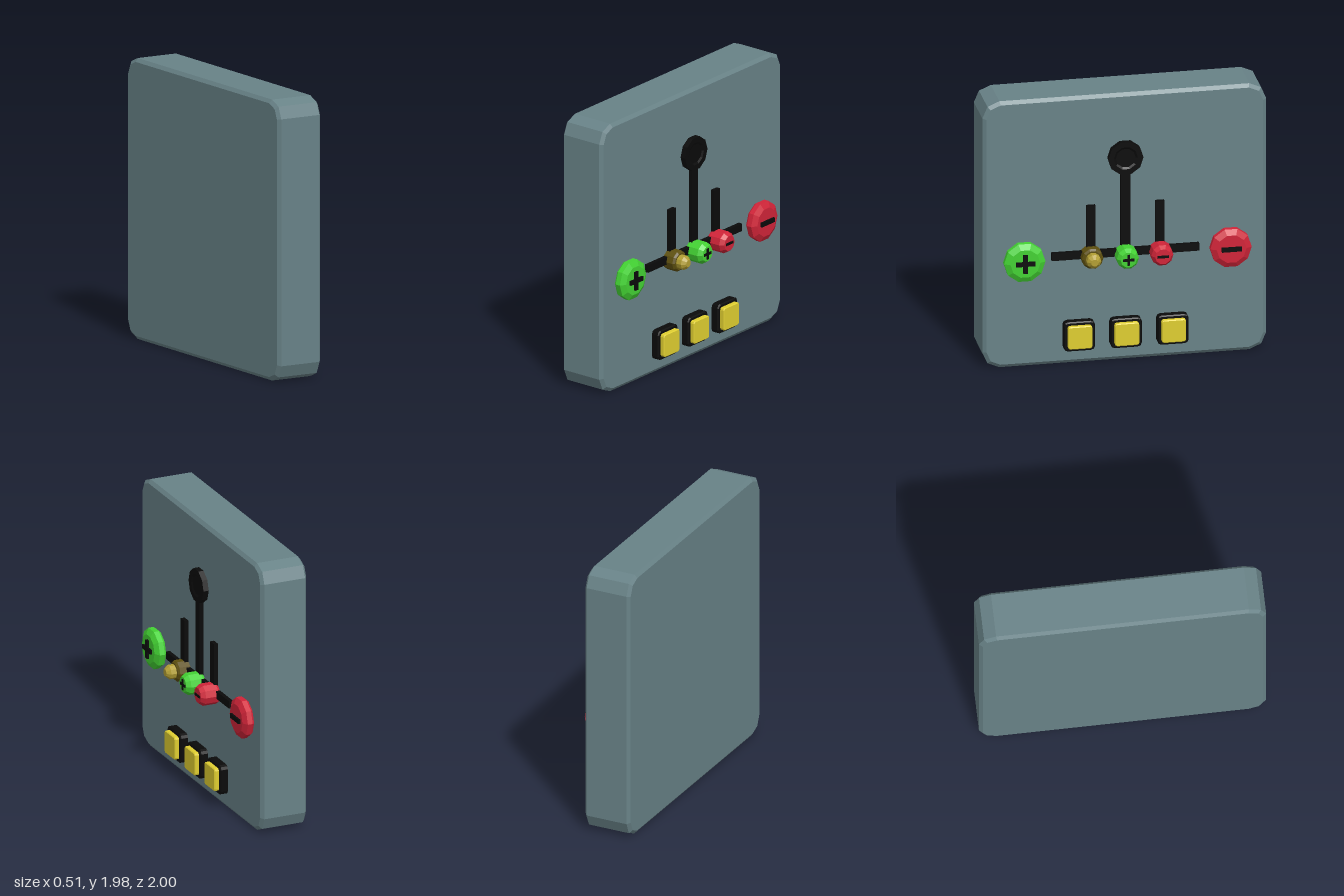
import * as THREE from 'three';

const paint = (color) => new THREE.MeshStandardMaterial({ color, flatShading: true });
const SURFACE = 0.09; // depth of the panel's face

export function createModel() {
  const black = paint(0x0a0a0a), green = paint(0x43d233), red = paint(0xd02438);
  const yellow = paint(0xdfce30), bronze = paint(0x5e500f), gold = paint(0xb39f33);
  const steel = paint(0x688287);

  const model = new THREE.Group();
  model.name = 'controlPanel';
  // Built facing +z, then turned so the controls face +x
  const panel = new THREE.Group();
  panel.name = 'panel';
  panel.rotation.y = Math.PI / 2;
  model.add(panel);

  const add = (parent, name, geometry, material, x = 0, y = 0, z = 0) => {
    const mesh = new THREE.Mesh(geometry, material);
    mesh.name = name;
    mesh.position.set(x, y, z);
    parent.add(mesh);
    return mesh;
  };

  // Rectangle whose corners are cut in two steps, extruded from z0 to z1 with a bevel
  const slab = (w, h, cut, z0, z1, bevel, thick) => {
    const a = w / 2 - bevel, b = h / 2 - bevel, c = cut, d = cut * 0.3;
    const corner = [[a, b - c], [a - d, b - d], [a - c, b]];
    const flip = (sx, sy) => corner.map(([x, y]) => new THREE.Vector2(x * sx, y * sy));
    const points = [...flip(1, 1), ...flip(-1, 1).reverse(), ...flip(-1, -1), ...flip(1, -1).reverse()];
    const geometry = new THREE.ExtrudeGeometry(new THREE.Shape(points), {
      depth: z1 - z0 - 2 * thick, bevelEnabled: true, bevelSize: bevel, bevelThickness: thick, bevelSegments: 1,
    });
    return geometry.translate(0, 0, z0 + thick);
  };

  // Ten-sided turned shape from [radius, depth] pairs, axis along z, flat side up
  const turned = (profile) => {
    const geometry = new THREE.LatheGeometry(profile.map(([r, z]) => new THREE.Vector2(r, z)), 10);
    return geometry.rotateY(Math.PI / 10).rotateX(Math.PI / 2);
  };

  const bar = (parent, name, w, h, x, y, z0, z1) =>
    add(parent, name, new THREE.BoxGeometry(w, h, z1 - z0), black, x, y, (z0 + z1) / 2);

  // Round button marked with a raised plus or minus
  const markedButton = (name, x, y, r, rim, top, markTop, size, material, plus) => {
    const group = new THREE.Group();
    group.name = name;
    group.position.set(x, y, 0);
    panel.add(group);
    add(group, 'cap', turned([[0, SURFACE], [r * 0.93, SURFACE], [r, SURFACE + 0.015], [r, rim], [r * 0.72, top], [0, top]]), material);
    bar(group, 'markAcross', size, size * 0.23, 0, 0, top - 0.02, markTop);
    if (plus) bar(group, 'markUpright', size * 0.23, size, 0, 0, top - 0.02, markTop);
  };

  // Backing plate
  add(panel, 'plate', slab(2, 1.98, 0.1, -0.26, SURFACE, 0.025, 0.02), steel, 0, 0.99);

  // Slider tracks
  bar(panel, 'crossTrack', 1.04, 0.055, 0, 0.808, 0.08, 0.12);
  bar(panel, 'centreTrack', 0.066, 0.64, 0, 1.1, 0.08, 0.12);
  for (const side of [-1, 1]) bar(panel, 'sideTrack', 0.064, 0.38, side * 0.243, 0.98, 0.08, 0.12);

  // Black dial at the top of the centre track
  add(panel, 'dial', turned([[0, 0.08], [0.124, 0.08], [0.124, 0.13], [0.085, 0.13], [0.07, 0.122], [0, 0.122]]), black, 0, 1.51);

  // Large outer buttons
  markedButton('largePlusButton', -0.715, 0.792, 0.146, 0.142, 0.165, 0.18, 0.135, green, true);
  markedButton('largeMinusButton', 0.738, 0.792, 0.146, 0.142, 0.165, 0.18, 0.14, red, false);

  // Small middle buttons
  markedButton('smallPlusButton', 0, 0.792, 0.078, 0.2, 0.23, 0.235, 0.08, green, true);
  markedButton('smallMinusButton', 0.243, 0.798, 0.078, 0.2, 0.23, 0.235, 0.08, red, false);

  // Stepped knob
  const knob = new THREE.Group();
  knob.name = 'steppedKnob';
  knob.position.set(-0.243, 0.798, 0);
  panel.add(knob);
  add(knob, 'collar', turned([[0, 0.08], [0.076, 0.08], [0.076, 0.172], [0.062, 0.186], [0, 0.186]]), bronze);
  add(knob, 'nub', turned([[0, 0.18], [0.051, 0.18], [0.051, 0.228], [0.026, 0.255], [0, 0.255]]), gold);

  // Row of square push buttons
  for (const x of [-0.33, 0, 0.33]) {
    add(panel, 'pushButtonBase', slab(0.22, 0.217, 0.022, 0.08, 0.147, 0.008, 0.008), black, x, 0.216);
    add(panel, 'pushButtonKey', slab(0.172, 0.168, 0.012, 0.13, 0.18, 0.006, 0.006), yellow, x, 0.217);
  }

  return model;
}
